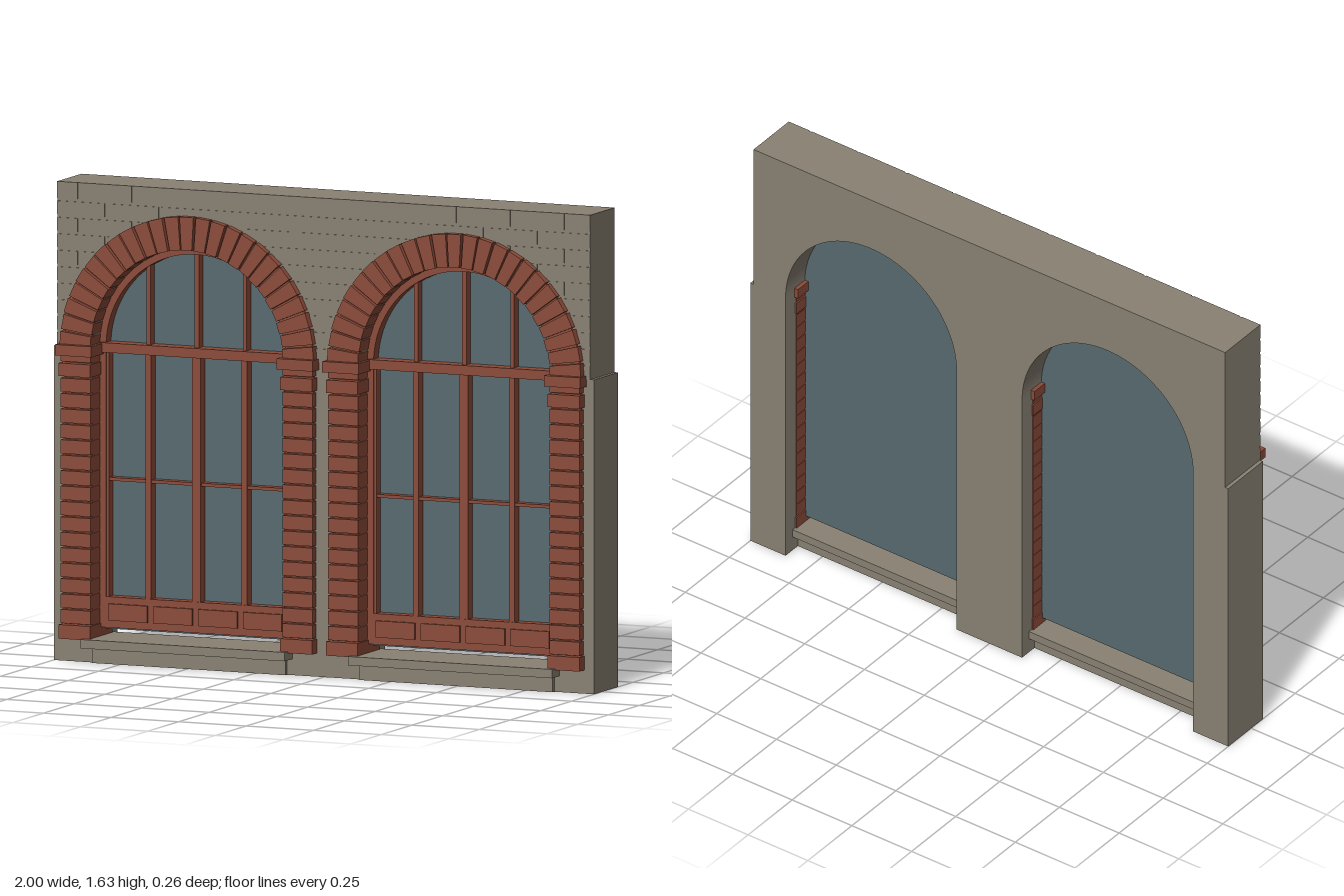
import * as THREE from 'three';

const stone = new THREE.MeshStandardMaterial({ color: 0x888173 });
stone.name = 'stone';
const brick = new THREE.MeshStandardMaterial({ color: 0x8b4a38 });
brick.name = 'red brick';
const glass = new THREE.MeshStandardMaterial({ color: 0x56696f, side: THREE.DoubleSide });
glass.name = 'glass';

const BAY = 0.495;      // window centre offset
const SPRING = 1.07;    // height where the arches begin
const R = 0.358;        // opening radius

// Box given by its limits on each axis
function block(parent, name, mat, x0, x1, y0, y1, z0, z1) {
  const m = new THREE.Mesh(new THREE.BoxGeometry(x1 - x0, y1 - y0, z1 - z0), mat);
  m.position.set((x0 + x1) / 2, (y0 + y1) / 2, (z0 + z1) / 2);
  m.name = name;
  parent.add(m);
  return m;
}

// Extruded shape between two depths
function slab(parent, name, mat, shape, z0, z1) {
  const g = new THREE.ExtrudeGeometry(shape, { depth: z1 - z0, bevelEnabled: false, curveSegments: 32 });
  const m = new THREE.Mesh(g, mat);
  m.position.z = z0;
  m.name = name;
  parent.add(m);
  return m;
}

// Round-headed outline of a given half width
function archShape(r, bottom) {
  const s = new THREE.Shape();
  s.moveTo(-r, bottom);
  s.lineTo(r, bottom);
  s.lineTo(r, SPRING);
  s.absarc(0, SPRING, r, 0, Math.PI, false);
  s.closePath();
  return s;
}

// Wall with two arched openings running down to the floor
function buildWall(root) {
  const s = new THREE.Shape();
  s.moveTo(-1, 0);
  for (const c of [-BAY, BAY]) {
    s.lineTo(c - R, 0);
    s.lineTo(c - R, SPRING);
    s.absarc(c, SPRING, R, Math.PI, 0, true);
    s.lineTo(c + R, 0);
  }
  s.lineTo(1, 0);
  s.lineTo(1, SPRING);
  s.lineTo(0.987, SPRING);
  s.lineTo(0.987, 1.63);
  s.lineTo(-0.987, 1.63);
  s.lineTo(-0.987, SPRING);
  s.lineTo(-1, SPRING);
  s.closePath();
  slab(root, 'wall', stone, s, -0.13, 0.067);
}

// Shallow running-bond courses above the springing line
function buildCourses(root) {
  const courses = new THREE.Group();
  courses.name = 'wallCourses';
  root.add(courses);
  const rows = 10, pitch = (1.63 - SPRING) / rows, gap = 0.01, len = 0.2;
  for (let i = 0; i < rows; i++) {
    const y0 = SPRING + i * pitch, y1 = y0 + pitch - (i < rows - 1 ? gap : 0);
    const d = y0 - SPRING;
    const half = d < 0.43 ? Math.sqrt(0.43 * 0.43 - d * d) : 0;
    const spans = half > 0
      ? [[-0.987, -BAY - half], [-BAY + half, BAY - half], [BAY + half, 0.987]]
      : [[-0.987, 0.987]];
    for (const [a, b] of spans) {
      const first = Math.floor(a / len) - 1;
      for (let k = first; k * len < b + len; k++) {
        const start = k * len + (i % 2) * len / 2;
        const x0 = Math.max(a, start), x1 = Math.min(b, start + len - gap);
        if (x1 - x0 > 0.005) block(courses, 'wallBrick', stone, x0, x1, y0, y1, 0.066, 0.07);
      }
    }
  }
}

// Brick pier with base, necking band and impost; side is -1 or 1
function buildPier(parent, side) {
  const pier = new THREE.Group();
  pier.name = 'brickPier';
  parent.add(pier);
  const part = (name, a, b, y0, y1, z0, z1) =>
    block(pier, name, brick, Math.min(side * a, side * b), Math.max(side * a, side * b), y0, y1, z0, z1);
  part('pierCore', 0.357, 0.46, 0.085, 1.05, -0.07, 0.076);
  part('pierBase', 0.352, 0.469, 0.08, 0.128, -0.075, 0.108);
  const n = 16, pitch = (0.972 - 0.132) / n;
  for (let i = 0; i < n; i++) {
    const y = 0.132 + i * pitch;
    part('pierBrick', 0.355, 0.466, y, y + pitch - 0.006, -0.072, 0.098);
  }
  part('pierBand', 0.352, 0.469, 0.974, 1.018, -0.075, 0.108);
  part('pierBrick', 0.355, 0.466, 1.023, 1.045, -0.072, 0.098);
  part('impost', 0.343, 0.477, 1.045, 1.082, -0.08, 0.12);
}

// Ring of wedge bricks over the opening
function buildArch(parent) {
  const arch = new THREE.Group();
  arch.name = 'brickArch';
  parent.add(arch);
  const core = new THREE.Shape();
  core.absarc(0, SPRING, 0.46, 0, Math.PI, false);
  core.absarc(0, SPRING, 0.36, Math.PI, 0, true);
  slab(arch, 'archCore', brick, core, 0.02, 0.08);
  const n = 25, step = Math.PI / n, g = 0.008;
  for (let i = 0; i < n; i++) {
    const a0 = i * step + g, a1 = (i + 1) * step - g;
    const s = new THREE.Shape([[0.356, a0], [0.47, a0], [0.47, a1], [0.356, a1]]
      .map(([r, a]) => new THREE.Vector2(r * Math.cos(a), SPRING + r * Math.sin(a))));
    slab(arch, 'archBrick', brick, s, 0.02, i % 2 ? 0.094 : 0.098);
  }
}

// Glazing, frame, bars and lower panels
function buildWindow(parent) {
  const win = new THREE.Group();
  win.name = 'window';
  parent.add(win);
  const pane = new THREE.Mesh(new THREE.ShapeGeometry(archShape(R, 0.105), 32), glass);
  pane.position.z = -0.021;
  pane.name = 'glassPane';
  win.add(pane);

  const frame = archShape(R, 0.115);
  frame.holes.push(archShape(0.333, 0.22));
  slab(win, 'frame', brick, frame, -0.02, 0.02);
  for (const s of [-1, 1]) block(win, 'sashStile', brick, s * 0.34 - 0.016, s * 0.34 + 0.016, 0.2, 1.06, -0.019, 0.015);

  block(win, 'transom', brick, -0.35, 0.35, 1.052, 1.085, -0.02, 0.032);
  block(win, 'glazingBar', brick, -0.335, 0.335, 0.614, 0.625, -0.02, 0.012);
  for (const [x, low, high] of [[-0.178, 0.01, 0.007], [0, 0.016, 0.008], [0.178, 0.01, 0.007]]) {
    block(win, 'lowerMullion', brick, x - low, x + low, 0.21, 1.06, -0.02, 0.018);
    block(win, 'upperMullion', brick, x - high, x + high, 1.08, SPRING + Math.sqrt(0.345 ** 2 - x * x), -0.02, 0.014);
  }
  for (let i = 0; i < 4; i++) {
    const x = (i - 1.5) * 0.166;
    block(win, 'lowerPanel', brick, x - 0.072, x + 0.072, 0.14, 0.197, 0.015, 0.028);
  }
}

export function createModel() {
  const root = new THREE.Group();
  root.name = 'archedWindowWall';
  buildWall(root);
  buildCourses(root);
  for (const c of [-BAY, BAY]) {
    const bay = new THREE.Group();
    bay.name = 'windowBay';
    bay.position.x = c;
    root.add(bay);
    buildPier(bay, -1);
    buildPier(bay, 1);
    buildArch(bay);
    buildWindow(bay);
    // Sill and the plinth below it
    block(bay, 'sill', stone, -0.378, 0.378, 0.055, 0.085, -0.09, 0.13);
    block(bay, 'sillPlinth', stone, -0.358, 0.358, 0, 0.055, -0.06, 0.08);
  }
  return root;
}
